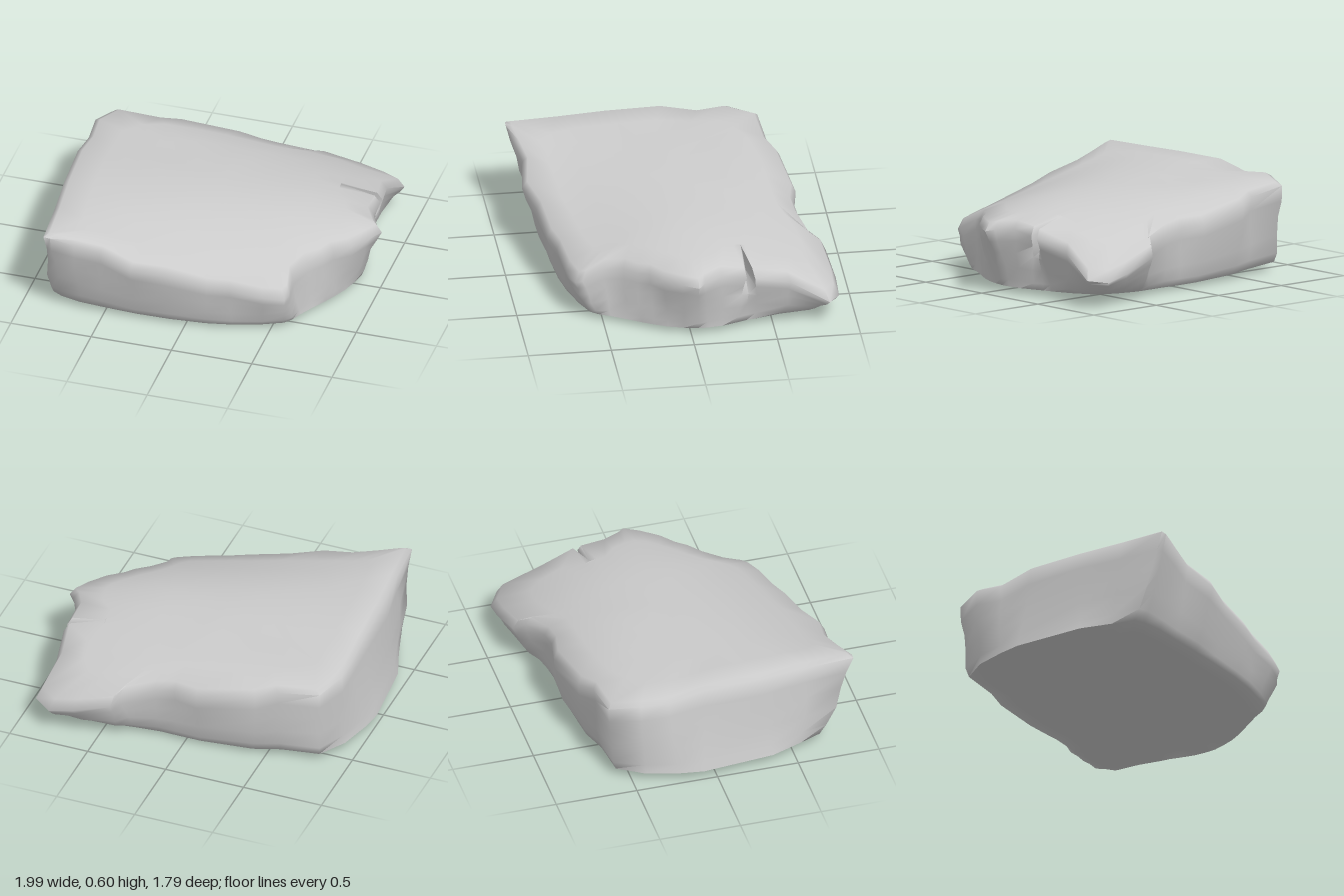
import * as THREE from 'three';
import { toCreasedNormals } from 'three/addons/utils/BufferGeometryUtils.js';

// Upper rim of the slab as [x, z], anticlockwise seen from above
const RIM = [
  [-0.83, 0.89], [-0.79, 0.89], [-0.65, 0.86], [-0.5, 0.83], [-0.3, 0.86], [-0.1, 0.8],
  [0.15, 0.77], [0.28, 0.73], [0.48, 0.7], [0.6, 0.66], [0.62, 0.62], [0.6, 0.5],
  [0.66, 0.38], [0.74, 0.31], [0.78, 0.24], [0.87, 0.17], [0.95, 0.06], [1.0, -0.03],
  [0.96, -0.07], [0.9, -0.18], [0.9, -0.33], [0.68, -0.335], [0.9, -0.38], [0.86, -0.6],
  [0.9, -0.83], [0.79, -0.9], [0.64, -0.9], [0.41, -0.87], [0.37, -0.8], [0.17, -0.74],
  [0.05, -0.73], [-0.1, -0.76], [-0.46, -0.71], [-0.58, -0.65], [-0.84, -0.63], [-0.91, -0.45],
  [-0.9, -0.28], [-0.9, -0.05], [-0.88, 0.3], [-0.85, 0.6],
];
// Foot of the side below each rim point
const FOOT = [
  [-0.83, 0.68], [-0.77, 0.71], [-0.65, 0.73], [-0.5, 0.73], [-0.3, 0.73], [-0.1, 0.72],
  [0.12, 0.7], [0.28, 0.67], [0.45, 0.62], [0.57, 0.57], [0.61, 0.52], [0.64, 0.45],
  [0.69, 0.36], [0.74, 0.28], [0.78, 0.21], [0.82, 0.13], [0.85, 0.04], [0.87, -0.04],
  [0.87, -0.1], [0.86, -0.19], [0.83, -0.28], [0.81, -0.34], [0.8, -0.4], [0.77, -0.54],
  [0.72, -0.67], [0.66, -0.71], [0.54, -0.72], [0.4, -0.72], [0.3, -0.7], [0.16, -0.68],
  [0.04, -0.68], [-0.1, -0.68], [-0.42, -0.65], [-0.58, -0.6], [-0.82, -0.58], [-0.92, -0.42],
  [-0.97, -0.22], [-0.99, -0.08], [-0.95, 0.36], [-0.88, 0.55],
];
const SLIT = 21; // column at the inner end of the crack
const N = RIM.length;

// Gently tilted top, falling away towards the front right and the back, with a dip at the left
function topHeight(x, z) {
  const u = x + 0.8;
  const fall = z > -0.1 ? Math.max(0, 0.25 * u) : 0.33 + 0.11 * x;
  const dip = 0.05 * Math.max(0, -x) * Math.exp(-(((z + 0.27) / 0.14) ** 2));
  return 0.6 - 0.03 * u - 0.025 * u * u - 0.08 * Math.max(0, x - 0.5) - fall * (z + 0.1) ** 2 - dip;
}

const footHeight = (x, z) => 0.05 * Math.min(1.2, x * x + z * z);

// The rim is crisp at the left and worn round elsewhere
const rimDrop = x => 0.02 + 0.025 * THREE.MathUtils.smoothstep(x, -0.8, -0.3);

// Mean of the rim points around column i, which bridges the crack
function smoothRim(i, reach) {
  const sum = [0, 0];
  for (let k = -reach; k <= reach; k++) {
    const p = RIM[(i + k + N) % N];
    sum[0] += p[0] / (2 * reach + 1);
    sum[1] += p[1] / (2 * reach + 1);
  }
  return sum;
}

// Side bulge: full at the back, undercut at the right, nearly straight elsewhere
function bulgePower(x, z) {
  if (z < -0.5) return 0.55;
  return x > 0.85 ? 1.15 : 0.8;
}

function slabGeometry() {
  const rings = [];
  const columns = fn => rings.push(RIM.map((_, i) => fn(i)));

  // Shallow underside
  for (const s of [0.001, 0.5, 0.85, 1]) {
    columns(i => {
      const x = FOOT[i][0] * s, z = FOOT[i][1] * s;
      return [x, footHeight(x, z), z];
    });
  }
  // Weathered sides from foot to rim; the crack opens only near the top
  for (const t of [0.12, 0.35, 0.6, 0.8, 1]) {
    columns(i => {
      const [fx, fz] = FOOT[i];
      const [rx, rz] = i === SLIT && t < 0.7 ? [0.9, -0.355] : RIM[i];
      const bump = 1 + 0.016 * Math.sin(i * 1.9 + t * 6) * Math.sin(Math.PI * t);
      const out = Math.pow(t, bulgePower(rx, rz));
      const y0 = footHeight(fx, fz), y1 = topHeight(rx, rz) - rimDrop(rx);
      return [(fx + (rx - fx) * out) * bump, y0 + (y1 - y0) * t, (fz + (rz - fz) * out) * bump];
    });
  }
  // Top surface, closing towards the middle
  for (const s of [0.965, 0.8, 0.6, 0.4, 0.2, 0.001]) {
    columns(i => {
      const p = s > 0.9 ? RIM[i] : smoothRim(i, s > 0.7 ? 1 : 2);
      const x = p[0] * s, z = p[1] * s;
      const ripple = s > 0.9 ? 0 : 0.006 * Math.sin(7 * z + 2 * x);
      return [x, topHeight(x, z) + ripple, z];
    });
  }

  const index = [];
  for (let j = 0; j < rings.length - 1; j++) {
    for (let i = 0; i < N; i++) {
      const k = (i + 1) % N;
      const a = j * N + i, b = j * N + k, c = a + N, d = b + N;
      index.push(a, b, d, a, d, c);
    }
  }
  const geometry = new THREE.BufferGeometry();
  geometry.setAttribute('position', new THREE.Float32BufferAttribute(rings.flat(2), 3));
  geometry.setIndex(index);
  return toCreasedNormals(geometry, THREE.MathUtils.degToRad(75));
}

export function createModel() {
  const group = new THREE.Group();
  group.name = 'rock';
  const slab = new THREE.Mesh(
    slabGeometry(),
    new THREE.MeshStandardMaterial({ color: 0xcccccc, side: THREE.DoubleSide }),
  );
  slab.name = 'rockSlab';
  group.add(slab);
  return group;
}
